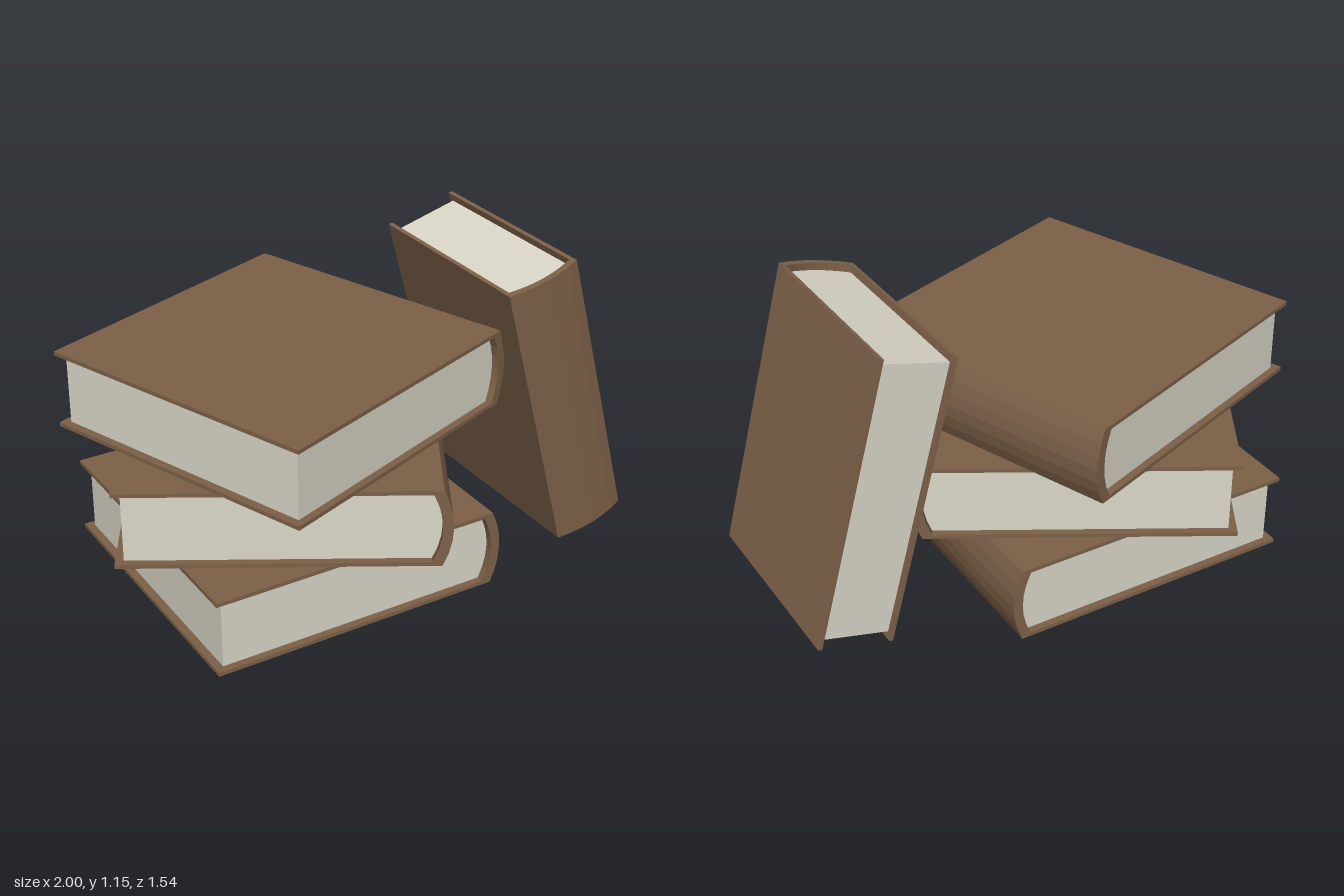
import * as THREE from 'three';

const LENGTH = 1.11, THICK = 0.295, BOARD = 0.015, FORE = -0.575;

// Points of a shallow bulging curve from bottom to top, at x0 with the given half height
function bulge(x0, depth, halfHeight, steps = 6) {
  return Array.from({ length: steps + 1 }, (_, i) => {
    const t = (i / steps) * 2 - 1;
    return new THREE.Vector2(x0 + depth * (1 - t * t), t * halfHeight);
  });
}

// Extrude a profile along z, centred
function slab(points, depth, material, name) {
  const geometry = new THREE.ExtrudeGeometry(new THREE.Shape(points), { depth, bevelEnabled: false });
  geometry.translate(0, 0, -depth / 2);
  const mesh = new THREE.Mesh(geometry, material);
  mesh.name = name;
  return mesh;
}

// Closed book lying flat: spine towards +x, length along z, centred on its origin
function makeBook(name, coverMaterial, pageMaterial) {
  const h = THICK / 2, inner = h - BOARD;
  const outerCurve = bulge(0.54, 0.035, h);
  const innerCurve = bulge(0.505, 0.033, inner);

  // Cover: two boards joined by the rounded spine
  const cover = slab([
    new THREE.Vector2(FORE, -h), ...outerCurve, new THREE.Vector2(FORE, h),
    new THREE.Vector2(FORE, inner), ...innerCurve.slice().reverse(), new THREE.Vector2(FORE, -inner),
  ], LENGTH, coverMaterial, 'cover');

  // Page block, set back from the three open edges
  const pages = slab([
    new THREE.Vector2(FORE + 0.03, -inner), ...innerCurve, new THREE.Vector2(FORE + 0.03, inner),
  ], LENGTH - 0.055, pageMaterial, 'pages');

  const book = new THREE.Group();
  book.name = name;
  book.add(cover, pages);
  return book;
}

export function createModel() {
  const group = new THREE.Group();
  group.name = 'bookStack';
  const coverMaterial = new THREE.MeshStandardMaterial({ color: 0x7d6148 });
  const pageMaterial = new THREE.MeshStandardMaterial({ color: 0xdad7c8 });

  // Three stacked books, each turned differently
  [['bottomBook', 0], ['middleBook', -30], ['topBook', 20]].forEach(([name, degrees], i) => {
    const book = makeBook(name, coverMaterial, pageMaterial);
    book.position.set(-0.225, THICK / 2 + i * 0.2975, -0.01);
    book.rotation.y = THREE.MathUtils.degToRad(degrees);
    group.add(book);
  });

  // Narrower book standing on end, spine to the front, leaning on the stack
  const leaning = makeBook('leaningBook', coverMaterial, pageMaterial);
  const tilt = THREE.MathUtils.degToRad(15), c = Math.cos(tilt), s = Math.sin(tilt);
  leaning.quaternion.setFromRotationMatrix(new THREE.Matrix4().makeBasis(
    new THREE.Vector3(0, 0, 1), new THREE.Vector3(c, s, 0), new THREE.Vector3(-s, c, 0)));
  leaning.scale.x = 0.696;
  leaning.position.set(0.71, 0.576, 0.06);
  group.add(leaning);

  return group;
}
